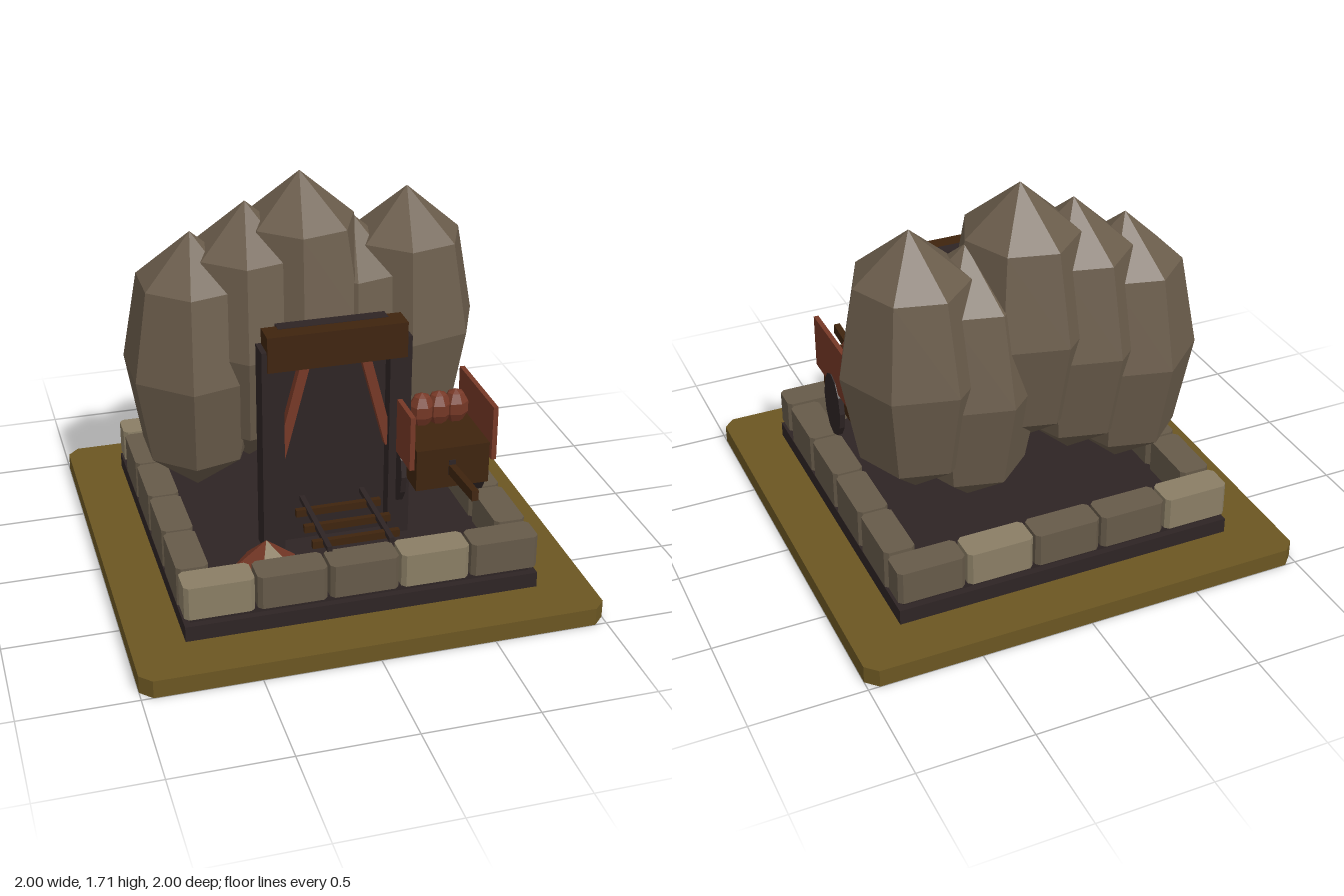
import * as THREE from 'three';

const mat = (name, color) => {
  const m = new THREE.MeshStandardMaterial({ color });
  m.name = name;
  return m;
};

export function createModel() {
  const root = new THREE.Group();
  const ground = mat('ochre ground', 0x6b5622);
  const dark = mat('dark timber', 0x2e2424);
  const rock = mat('brown rock', 0x6a5c4b);
  const stone = mat('wall stone', 0x665a49);
  const pale = mat('pale stone', 0x8a7e65);
  const brown = mat('brown wood', 0x3f240e);
  const red = mat('rust red', 0x763826);

  const add = (name, geo, material, x = 0, y = 0, z = 0, parent = root) => {
    const m = new THREE.Mesh(geo, material);
    m.name = name;
    m.position.set(x, y, z);
    parent.add(m);
    return m;
  };
  // Box given by its limits on each axis
  const box = (name, material, x0, x1, y0, y1, z0, z1) =>
    add(name, new THREE.BoxGeometry(x1 - x0, y1 - y0, z1 - z0), material,
      (x0 + x1) / 2, (y0 + y1) / 2, (z0 + z1) / 2);
  // Upright prism standing on y = 0, with cut corners in plan
  const prism = (w, d, h, c) => {
    const a = w / 2, b = d / 2;
    const pts = [[a, -b + c], [a, b - c], [a - c, b], [-a + c, b],
      [-a, b - c], [-a, -b + c], [-a + c, -b], [a - c, -b]];
    const s = new THREE.Shape(pts.map(p => new THREE.Vector2(...p)));
    return new THREE.ExtrudeGeometry(s, { depth: h, bevelEnabled: false }).rotateX(-Math.PI / 2);
  };
  const facet = geo => {
    const g = geo.toNonIndexed();
    g.computeVertexNormals();
    return g;
  };
  // Seven-sided faceted boulder of unit radius
  const profile = [[0, -1], [0.77, -0.653], [1, 0], [0.77, 0.653], [0, 1]];
  const boulder = (rx, ry, rz) => facet(new THREE.LatheGeometry(
    profile.map(p => new THREE.Vector2(...p)), 7, Math.PI / 2).scale(rx, ry, rz));

  // Ground slab and foundation
  add('groundSlab', prism(2, 2, 0.08, 0.05), ground);
  box('foundation', dark, -0.77, 0.77, 0.08, 0.15, -0.77, 0.77);
  box('floor', dark, -0.74, 0.74, 0.15, 0.18, -0.74, 0.74);

  // Stone wall around the floor
  for (const side of [-1, 1]) {
    for (let i = 0; i < 5; i++) {
      add('wallStone', prism(0.298, 0.137, 0.15, 0.018), i % 3 === 0 ? pale : stone,
        (i - 2) * 0.31, 0.18, side * 0.7);
    }
    for (let i = 0; i < 4; i++) {
      add('sideWallStone', prism(0.137, 0.298, 0.18, 0.018), stone,
        side * 0.7, 0.15, (i - 1.5) * 0.31);
    }
  }

  // Row of boulders forming the cliff
  [[-0.5, 0.855], [-0.255, 0.97], [-0.01, 1.085], [0.235, 0.855], [0.48, 0.97]].forEach(([x, y]) =>
    add('cliffBoulder', boulder(0.32, 0.62, 0.355), rock, x, y, -0.235));

  // Mine entrance
  box('tunnelOpening', dark, -0.24, 0.24, 0.18, 1.202, 0.21, 0.27);
  box('lintel', brown, -0.305, 0.305, 1.04, 1.2, 0.235, 0.345);
  for (const side of [-1, 1]) {
    const x = side * 0.28;
    box('post', dark, x - 0.048, x + 0.048, 0.18, 1.13, 0.23, 0.335);
    const brace = add('brace', new THREE.BoxGeometry(0.042, 0.48, 0.05), red, side * 0.183, 0.85, 0.285);
    brace.rotation.z = side * 0.255;
  }

  // Track
  for (const x of [-0.14, 0.13]) box('rail', dark, x - 0.011, x + 0.011, 0.372, 0.395, 0.19, 0.71);
  for (const z of [0.37, 0.505, 0.635]) box('sleeper', brown, -0.195, 0.185, 0.355, 0.388, z - 0.012, z + 0.012);

  // Cart with side boards, wheels, handle and load
  box('cartBody', brown, 0.3, 0.628, 0.48, 0.67, 0.11, 0.51);
  for (const x of [0.276, 0.645]) {
    box('cartSideBoard', red, x - 0.011, x + 0.011, 0.59, 0.84, 0.1, 0.52);
    const wheel = facet(new THREE.CylinderGeometry(1, 1, 0.024, 12)
      .rotateZ(Math.PI / 2).scale(1, 0.158, 0.102));
    add('cartWheel', wheel, dark, x + 0.003, 0.496, 0.31);
  }
  const handle = add('cartHandle', new THREE.BoxGeometry(0.03, 0.046, 0.32), brown, 0.46, 0.576, 0.633);
  handle.rotation.x = -0.09;
  box('cartLatch', dark, 0.445, 0.475, 0.54, 0.61, 0.505, 0.514);
  for (const x of [0.388, 0.465, 0.542]) {
    const g = facet(new THREE.SphereGeometry(1, 7, 5).scale(0.06, 0.08, 0.055));
    add('cartLoad', g, red, x, 0.76, 0.303);
  }

  // Five-sided ore heap, one face ochre
  const deg = Math.PI / 180;
  const heap = (segments, start) => facet(new THREE.ConeGeometry(
    0.176, 0.15, segments, 1, true, start * deg, segments * 72 * deg));
  add('oreHeap', heap(4, 50), red, -0.355, 0.255, 0.485);
  add('oreHeapFace', heap(1, -22), ground, -0.355, 0.255, 0.485);

  return root;
}
